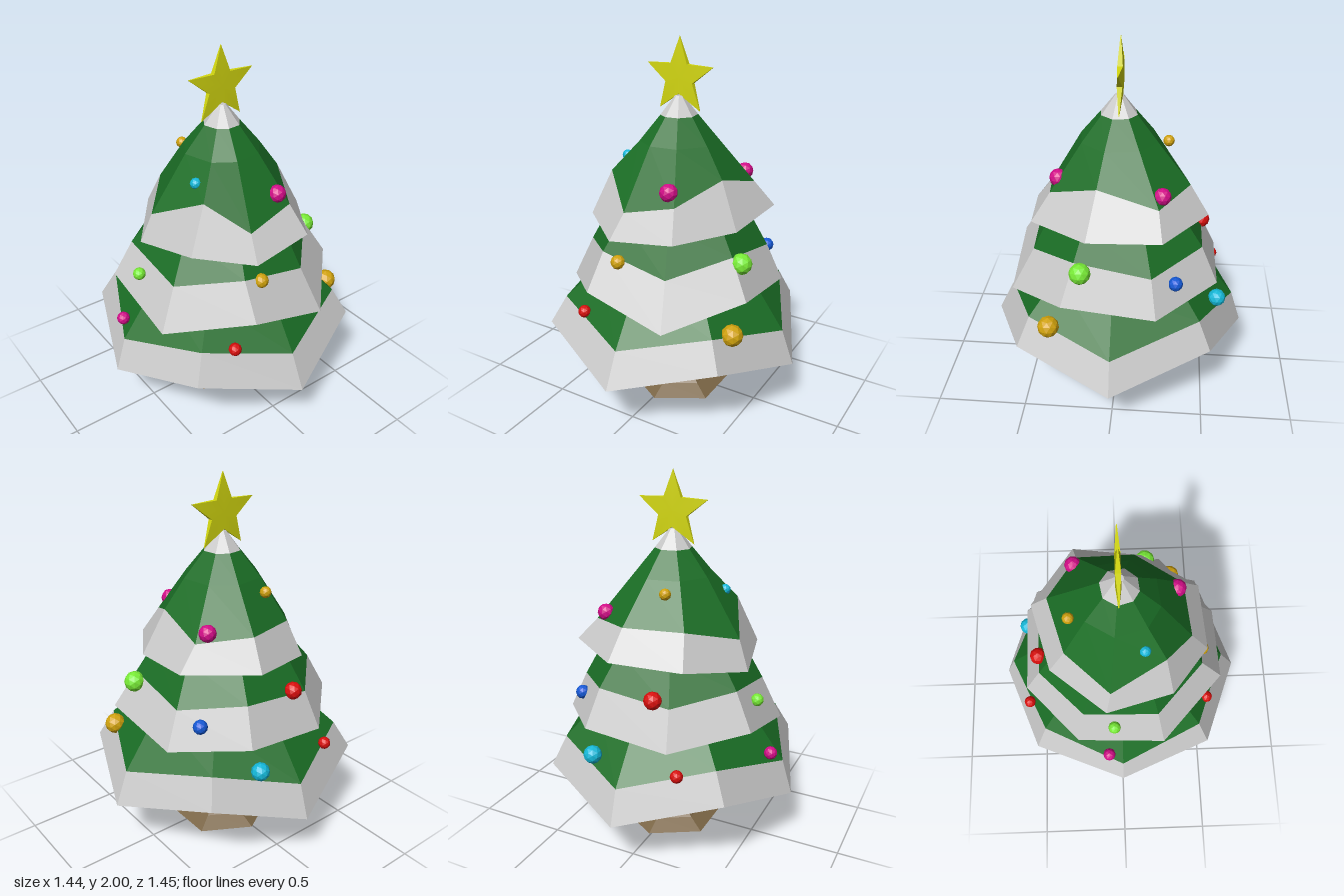
import * as THREE from 'three';
import { toCreasedNormals } from 'three/addons/utils/BufferGeometryUtils.js';

const GREY = 0xcccccc, GREEN = 0x1a6d25, BARK = 0x7a6545, YELLOW = 0xd4d810;
const RED = 0xd80e0c, PINK = 0xd20c88, CYAN = 0x14b8d8, GOLD = 0xd0a20c, BLUE = 0x1458d4, LIME = 0x78ea36;

function addMesh(parent, name, geometry, color, flatShading = false) {
  const material = new THREE.MeshStandardMaterial({ color, flatShading });
  const mesh = new THREE.Mesh(geometry, material);
  mesh.name = name;
  parent.add(mesh);
  return mesh;
}

// Skin a stack of rings (bottom to top, equal point counts); each panel or cap is shaded as one facet
function loft(rings, capBottom, capTop) {
  const n = rings[0].length;
  const pos = [], nor = [];
  const addFace = (corners) => {
    const v = corners.map((c) => new THREE.Vector3(...c));
    const normal = new THREE.Vector3();
    v.forEach((p, i) => normal.add(p.clone().cross(v[(i + 1) % v.length])));
    normal.normalize();
    for (let i = 1; i < v.length - 1; i++) {
      for (const p of [v[0], v[i], v[i + 1]]) {
        pos.push(...p);
        nor.push(...normal);
      }
    }
  };
  for (let r = 0; r < rings.length - 1; r++) {
    const a = rings[r], b = rings[r + 1];
    for (let i = 0; i < n; i++) {
      const j = (i + 1) % n;
      addFace([a[i], b[i], b[j], a[j]]);
    }
  }
  if (capBottom) addFace(rings[0]);
  if (capTop) addFace([...rings[rings.length - 1]].reverse());
  const g = new THREE.BufferGeometry();
  g.setAttribute('position', new THREE.Float32BufferAttribute(pos, 3));
  g.setAttribute('normal', new THREE.Float32BufferAttribute(nor, 3));
  return g;
}

// Hexagon with corners to the front and back
const hexRing = (radius, y) => Array.from({ length: 6 }, (_, i) => {
  const a = Math.PI / 2 + (i * Math.PI) / 3;
  return [radius * Math.cos(a), y, radius * Math.sin(a)];
});

// Ring from ground-plan points, with heights that repeat
const planRing = (plan, ys) => plan.map(([x, z], i) => [x, ys[i % ys.length], z]);

// Round ring whose corners line up with a ground plan
const alignedRing = (plan, radius, y) => plan.map(([x, z]) => {
  const s = radius / Math.hypot(x, z);
  return [x * s, y, z * s];
});

// One layer of branches: snowy hem below, green above
function addTier(parent, name, hemBottom, hemTop, upper) {
  const tier = new THREE.Group();
  tier.name = name;
  addMesh(tier, 'snowHem', loft([hemBottom, hemTop], true, false), GREY);
  addMesh(tier, 'branches', loft([hemTop, ...upper], false, true), GREEN);
  parent.add(tier);
  return tier;
}

// Star with sharp tips, thickest at its inner corners
function starGeometry(outer, inner, half) {
  const pos = [];
  const pt = (i, side) => {
    const a = Math.PI / 2 + (i * Math.PI) / 5, tip = i % 2 === 0;
    const r = tip ? outer : inner;
    return [r * Math.cos(a), r * Math.sin(a), side * (tip ? 0.002 : half)];
  };
  for (let i = 0; i < 10; i++) {
    const f0 = pt(i, 1), f1 = pt(i + 1, 1), b0 = pt(i, -1), b1 = pt(i + 1, -1);
    pos.push(0, 0, half, ...f0, ...f1);
    pos.push(0, 0, -half, ...b1, ...b0);
    pos.push(...f0, ...b0, ...f1, ...b0, ...b1, ...f1);
  }
  const g = new THREE.BufferGeometry();
  g.setAttribute('position', new THREE.Float32BufferAttribute(pos, 3));
  return toCreasedNormals(g, 0.8);
}

export function createModel() {
  const tree = new THREE.Group();
  tree.name = 'decoratedTree';

  // Six-sided trunk with a flared foot
  const trunkProfile = [[0.295, 0], [0.2, 0.045], [0.13, 0.105], [0.118, 0.375]];
  const trunk = loft(trunkProfile.map(([r, y]) => hexRing(r, y)), true, true);
  addMesh(tree, 'trunk', trunk, BARK).position.x = 0.01;

  // Lower tier: zigzag hem with corners on the axes hanging low
  const lowPlan = [[-0.53, 0.515], [-0.718, 0], [-0.53, -0.51], [0, -0.72],
    [0.48, -0.525], [0.72, 0], [0.527, 0.51], [0, 0.728]];
  const lowHemPlan = [[-0.46, 0.453], [-0.66, 0], [-0.457, -0.45], [0, -0.66],
    [0.425, -0.46], [0.65, 0], [0.458, 0.448], [0, 0.635]];
  addTier(tree, 'lowerTier',
    planRing(lowPlan, [0.452, 0.303]),
    planRing(lowHemPlan, [0.605, 0.492]),
    [alignedRing(lowHemPlan, 0.44, 0.78), alignedRing(lowHemPlan, 0.3, 0.92)]);

  // Middle tier: turned half a step, hem slightly uneven
  const midPlan = [[0.535, -0.23], [0.55, 0.26], [0.24, 0.58], [-0.21, 0.58],
    [-0.56, 0.24], [-0.56, -0.25], [-0.23, -0.55], [0.24, -0.55]];
  const midHemPlan = [[0.45, -0.2], [0.435, 0.2], [0.19, 0.455], [-0.19, 0.455],
    [-0.455, 0.2], [-0.46, -0.21], [-0.2, -0.46], [0.2, -0.46]];
  addTier(tree, 'middleTier',
    planRing(midPlan, [0.68, 0.75, 0.63, 0.75, 0.635, 0.745, 0.69, 0.73]),
    planRing(midHemPlan, [0.88, 0.95, 0.865, 0.94, 0.87, 0.94, 0.89, 0.93]),
    [alignedRing(midHemPlan, 0.37, 1.1), alignedRing(midHemPlan, 0.28, 1.2)]);

  // Upper tier: lopsided hem, rounding in to the peak
  const topPlan = [[-0.39, 0.275], [-0.472, -0.085], [-0.24, -0.385], [0.13, -0.485],
    [0.46, -0.25], [0.425, 0.14], [0.228, 0.45], [-0.13, 0.48]];
  const topHemPlan = [[-0.28, 0.23], [-0.41, -0.06], [-0.205, -0.295], [0.1, -0.383],
    [0.345, -0.225], [0.31, 0.09], [0.18, 0.35], [-0.1, 0.385]];
  const peak = alignedRing(topHemPlan, 0.1, 1.6);
  const upperTier = addTier(tree, 'upperTier',
    planRing(topPlan, [1.06, 1.005, 1.06, 1.09, 1.1, 1.065, 1.06, 1.02]),
    planRing(topHemPlan, [1.31, 1.165, 1.24, 1.25, 1.225, 1.31, 1.215, 1.15]),
    [alignedRing(topHemPlan, 0.212, 1.465), peak]);

  // Snow on the peak
  addMesh(upperTier, 'snowCap', loft([peak, alignedRing(topHemPlan, 0.022, 1.7)], false, true), GREY);

  // Star on top
  const star = addMesh(tree, 'star', starGeometry(0.207, 0.084, 0.014), YELLOW);
  star.position.set(0, 1.793, -0.007);

  // Faceted baubles: colour, x, y, z, radius
  const baubles = new THREE.Group();
  baubles.name = 'baubles';
  tree.add(baubles);
  const spots = [
    [PINK, 0.125, 1.275, 0.31, 0.049], [CYAN, -0.25, 1.37, 0.12, 0.03],
    [GOLD, -0.08, 1.415, -0.26, 0.031], [PINK, 0.28, 1.27, -0.24, 0.046],
    [GOLD, -0.09, 0.905, 0.463, 0.039], [LIME, 0.47, 0.91, 0.165, 0.057],
    [BLUE, 0.395, 0.82, -0.325, 0.039], [RED, -0.11, 0.92, -0.46, 0.048],
    [LIME, -0.515, 0.84, -0.045, 0.035], [PINK, -0.615, 0.565, -0.08, 0.036],
    [RED, -0.29, 0.583, 0.51, 0.035], [GOLD, 0.513, 0.59, 0.335, 0.058],
    [CYAN, 0.193, 0.595, -0.56, 0.049], [RED, -0.285, 0.578, -0.545, 0.034],
  ];
  for (const [color, x, y, z, r] of spots) {
    addMesh(baubles, 'bauble', new THREE.IcosahedronGeometry(r, 1), color, true).position.set(x, y, z);
  }
  return tree;
}
